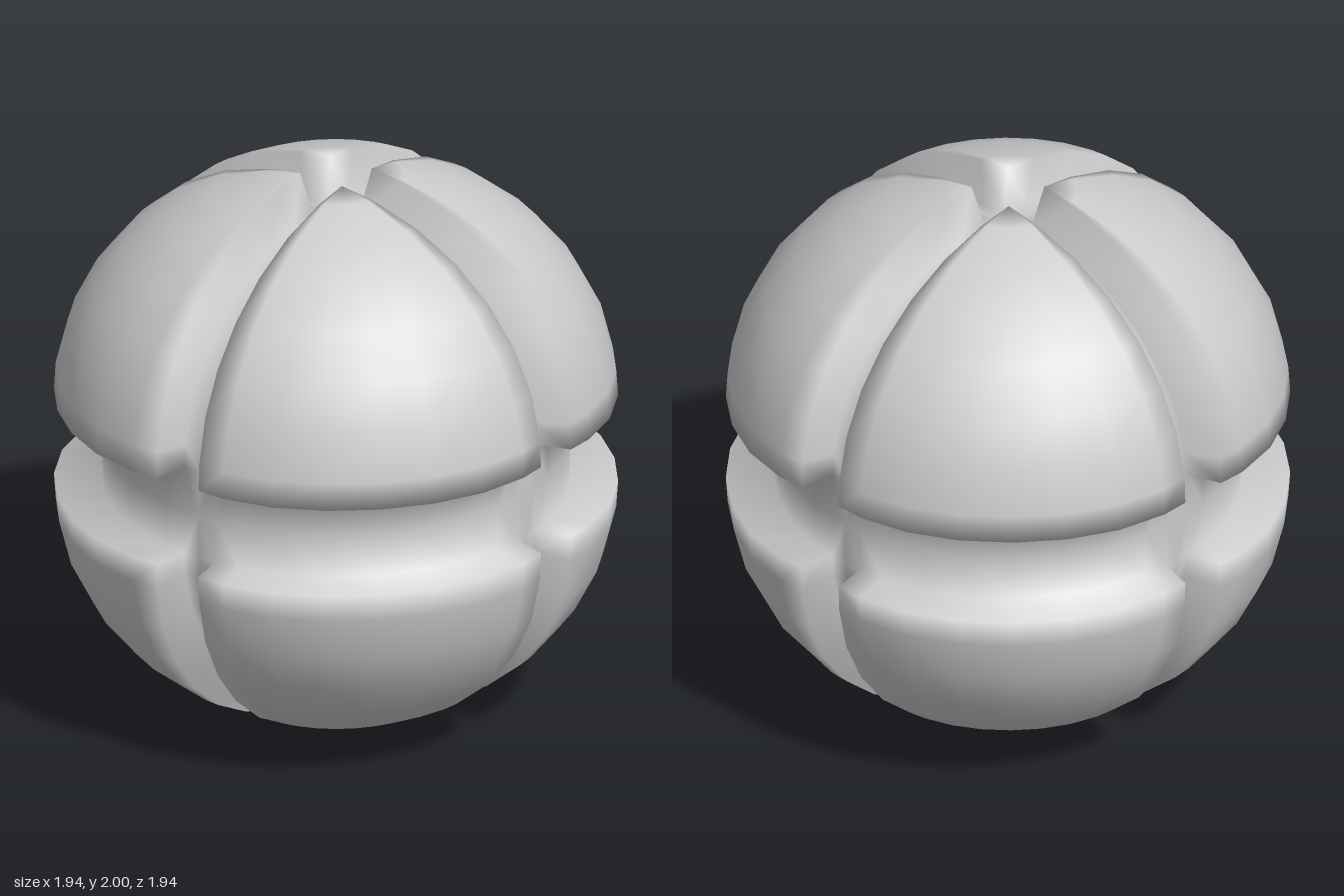
import * as THREE from 'three';
import { mergeVertices } from 'three/addons/utils/BufferGeometryUtils.js';

const HY = 0.163;             // half width of the level groove
const RIM = 0.088;            // half width of the upright grooves at the surface
const FOOT = [0.065, 0.05];   // their half widths at the floor
const FLOOR = { radius: 0.805, top: 0.85 };
const STOPS = [0, 0.08, 0.22, 0.36, 0.5, 0.64, 0.78, 0.92, 1];
const N = STOPS.length - 1;

// Point on one eighth of the ball. Indices 0..N lie on the raised segment,
// -1 and N+1 at the foot of its walls, -2 and N+2 on a groove's centre line.
// Each half is a dome that starts upright at the edge of the level groove.
function pointAt(i, j) {
  const s = STOPS[Math.min(N, Math.max(0, j))];
  const t = STOPS[Math.max(0, i)];
  const raised = i >= 0 && j >= 0 && j <= N;
  const radius = raised ? 0.97 - 0.035 * (1 - t) * (2 * s - 1) ** 4 : FLOOR.radius;
  const top = raised ? 1.006 : FLOOR.top;
  const hx = j === -2 ? 0 : raised ? RIM : FOOT[0];
  const hz = j === N + 2 ? 0 : raised ? RIM : FOOT[1];
  const el = Math.acos(Math.hypot(hx, hz) / radius) * t;
  const rho = radius * Math.cos(el);
  const y = i === -2 ? 0 : HY + (top - HY) * Math.sin(el);
  const a0 = Math.asin(Math.min(1, hx / rho));
  const a1 = Math.acos(Math.min(1, hz / rho));
  const az = a0 + (a1 - a0) * s;
  return new THREE.Vector3(rho * Math.sin(az), y, rho * Math.cos(az));
}

// Triangles of one eighth: segment, walls and its share of the groove floors
function eighthTriangles() {
  const tris = [];
  const quad = (a, b, c, d) => {
    for (const tri of [[a, b, c], [a, c, d]]) {
      if (new THREE.Triangle(...tri).getArea() > 1e-7) tris.push(tri);
    }
  };
  for (let i = -2; i < N; i++) {
    for (let j = -2; j < N + 2; j++) {
      quad(pointAt(i, j), pointAt(i, j + 1), pointAt(i + 1, j + 1), pointAt(i + 1, j));
    }
  }
  // floor where the upright grooves cross
  quad(new THREE.Vector3(0, FLOOR.top, 0), pointAt(N, -2), pointAt(N, -1), pointAt(N, N + 2));
  return tris;
}

export function createModel() {
  const group = new THREE.Group();
  group.name = 'groovedBall';

  // mirror the eighth into all octants, keeping faces outward
  const positions = [];
  const eighth = eighthTriangles();
  for (const sx of [1, -1]) for (const sy of [1, -1]) for (const sz of [1, -1]) {
    for (const [a, b, c] of eighth) {
      const order = sx * sy * sz > 0 ? [a, b, c] : [a, c, b];
      for (const p of order) positions.push(p.x * sx, p.y * sy, p.z * sz);
    }
  }
  let geometry = new THREE.BufferGeometry();
  geometry.setAttribute('position', new THREE.Float32BufferAttribute(positions, 3));
  geometry = mergeVertices(geometry, 1e-4);
  geometry.rotateY(-0.625);
  geometry.computeVertexNormals();

  const ball = new THREE.Mesh(geometry, new THREE.MeshStandardMaterial({ color: 0xcccccc }));
  ball.name = 'segmentedShell';
  ball.position.y = 1;
  group.add(ball);
  return group;
}
